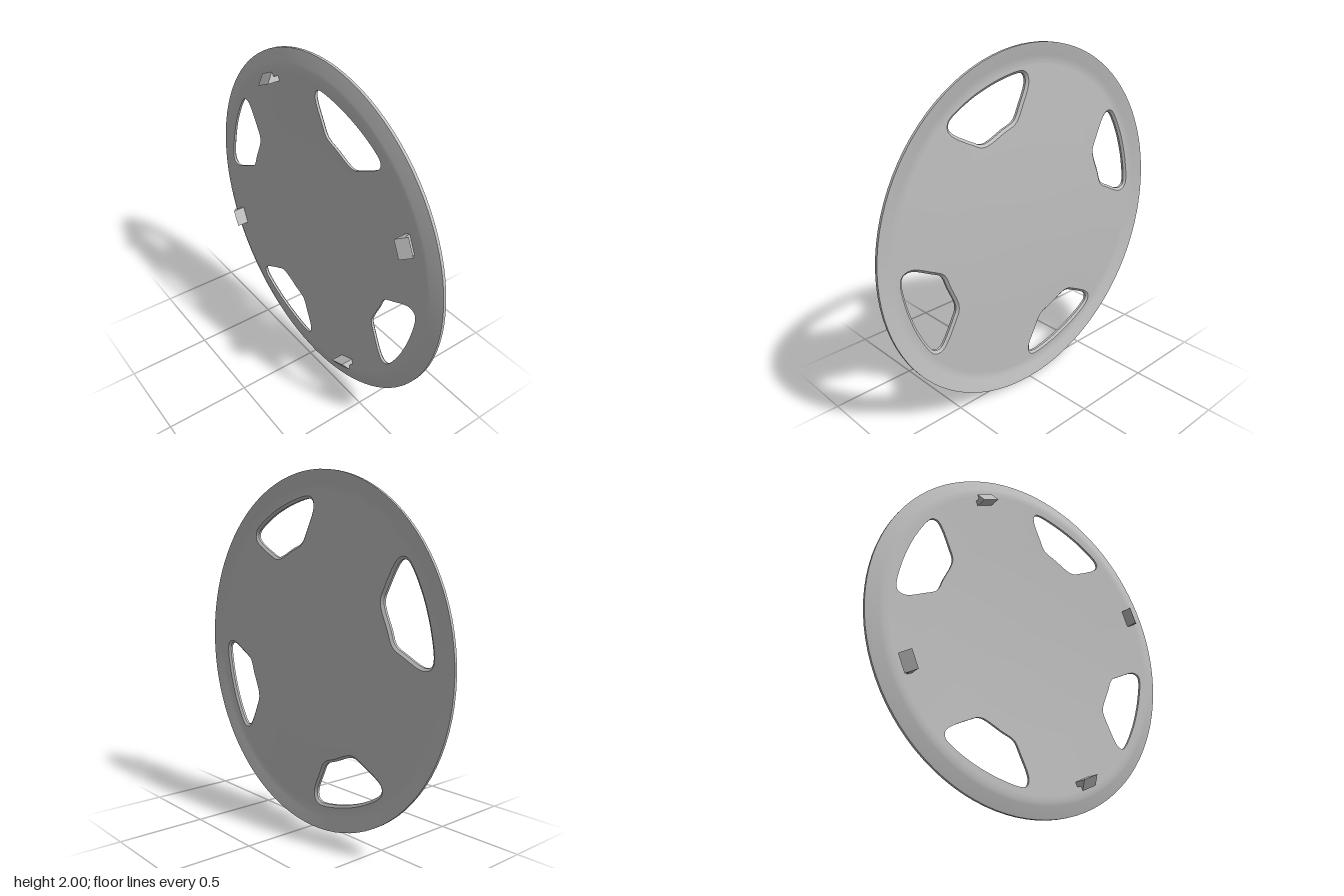
import * as THREE from 'three';

const SEG = 96, R_IN = 0.57, R_OUT = 0.89, THICK = 0.025;
const SLOPE = 0.011 / (R_OUT - R_IN);

// Front surface height of the slightly dished perforated band
const bandZ = r => -0.025 + (r - R_IN) * SLOPE;

// Quarter arc whose points line up with the revolved parts
const quarterArc = r => Array.from({ length: SEG / 4 + 1 }, (_, i) => {
  const a = (i + 6) / SEG * Math.PI * 2;
  return new THREE.Vector2(r * Math.cos(a), r * Math.sin(a));
});

// Clockwise outline of one vent opening, optionally grown outward
function ventOutline(grow) {
  const pts = [[0.016, 0.815], [0.028, 0.842], [0.06, 0.852], [0.18, 0.834], [0.28, 0.806],
    [0.37, 0.772], [0.48, 0.714], [0.521, 0.68], [0.526, 0.65], [0.505, 0.622], [0.37, 0.549],
    [0.335, 0.534], [0.295, 0.535], [0.18, 0.583], [0.122, 0.604], [0.097, 0.624], [0.065, 0.685], [0.02, 0.78]];
  const curve = new THREE.CatmullRomCurve3(pts.map(p => new THREE.Vector3(p[0], p[1], 0)), true);
  const n = 60;
  return Array.from({ length: n }, (_, i) => {
    const p = curve.getPoint(i / n), t = curve.getTangent(i / n);
    return new THREE.Vector2(p.x - t.y * grow, p.y + t.x * grow);
  });
}

// Quarter of one skin of the band with its vent, bent to the dish
function bandSkin(grow, depth, back) {
  const shape = new THREE.Shape([...quarterArc(R_OUT), ...quarterArc(R_IN).reverse()]);
  shape.holes.push(new THREE.Path(ventOutline(grow)));
  const geo = new THREE.ShapeGeometry(shape);
  const pos = geo.attributes.position, side = back ? -1 : 1, normal = new THREE.Vector3();
  for (let i = 0; i < pos.count; i++) {
    const x = pos.getX(i), y = pos.getY(i), r = Math.hypot(x, y);
    pos.setZ(i, bandZ(r) - depth);
    normal.set(-x / r * SLOPE, -y / r * SLOPE, 1).normalize().multiplyScalar(side);
    geo.attributes.normal.setXYZ(i, normal.x, normal.y, normal.z);
  }
  if (back) geo.index.array.reverse();
  return geo;
}

// Closed strip around a vent between two outlines at two depths
function ventStrip(a, depthA, b, depthB) {
  const verts = [], index = [], n = a.length;
  for (let i = 0; i < n; i++) {
    verts.push(a[i].x, a[i].y, bandZ(a[i].length()) - depthA);
    verts.push(b[i].x, b[i].y, bandZ(b[i].length()) - depthB);
    const f = 2 * i, g = 2 * ((i + 1) % n);
    index.push(f, f + 1, g, g, f + 1, g + 1);
  }
  const geo = new THREE.BufferGeometry();
  geo.setAttribute('position', new THREE.Float32BufferAttribute(verts, 3));
  geo.setIndex(index);
  geo.computeVertexNormals();
  return geo;
}

// Surface of revolution about z from [radius, z] pairs
const revolve = pts => new THREE.LatheGeometry(pts.map(p => new THREE.Vector2(p[0], p[1])), SEG).rotateX(Math.PI / 2);

export function createModel() {
  const silver = new THREE.MeshStandardMaterial({ color: 0xc0c0c0 });
  silver.name = 'silver plastic';
  const model = new THREE.Group();
  model.name = 'wheelCover';
  const add = (name, geo, angle = 0) => {
    const mesh = new THREE.Mesh(geo, silver);
    mesh.name = name;
    mesh.position.y = 1;
    mesh.rotation.z = THREE.MathUtils.degToRad(angle);
    model.add(mesh);
  };

  // Gently dished centre
  const dish = [[0, -0.034], [0.1, -0.0337], [0.2, -0.0327], [0.3, -0.0313], [0.4, -0.0295], [0.5, -0.0273], [R_IN, -0.025]];
  add('centreFront', revolve([...dish].reverse()));
  add('centreBack', revolve(dish.map(([r, z]) => [r, z - THICK])));

  // Flared rim
  const front = [[1, -0.042], [0.985, -0.0365], [0.935, -0.0195], [0.92, -0.016], [0.905, -0.0143], [R_OUT, -0.014]];
  const back = [[R_OUT, -0.039], [0.905, -0.0395], [0.92, -0.0415], [0.935, -0.0447], [0.985, -0.0555], [1, -0.058]];
  add('rimFront', revolve(front));
  add('rimBack', revolve(back));
  add('rimEdge', revolve([[1, -0.058], [1, -0.042]]));

  // Perforated band quarter, vent wall and chamfered lip on the back
  const inner = ventOutline(0), outer = ventOutline(0.014);
  const bandFront = bandSkin(0, 0, false);
  const bandBack = bandSkin(0.014, THICK, true);
  const ventWall = ventStrip(inner, 0, inner, 0.014);
  const ventLip = ventStrip(inner, 0.014, outer, THICK);

  // Barbed clip profile: radius by z, extruded along the tangent
  const barb = new THREE.Shape([[0.828, -0.02], [0.857, -0.02], [0.857, 0.012], [0.884, 0.015], [0.828, 0.058]]
    .map(p => new THREE.Vector2(p[0], p[1])));
  const clip = new THREE.ExtrudeGeometry(barb, { depth: 0.104, bevelEnabled: false })
    .translate(0, 0, -0.052).rotateX(Math.PI / 2);

  for (let k = 0; k < 4; k++) {
    add('bandFront', bandFront, 90 * k);
    add('bandBack', bandBack, 90 * k);
    add('ventWall', ventWall, 90 * k);
    add('ventLip', ventLip, 90 * k);
    add('clip', clip, 24.7 + 90 * k);
  }
  return model;
}
